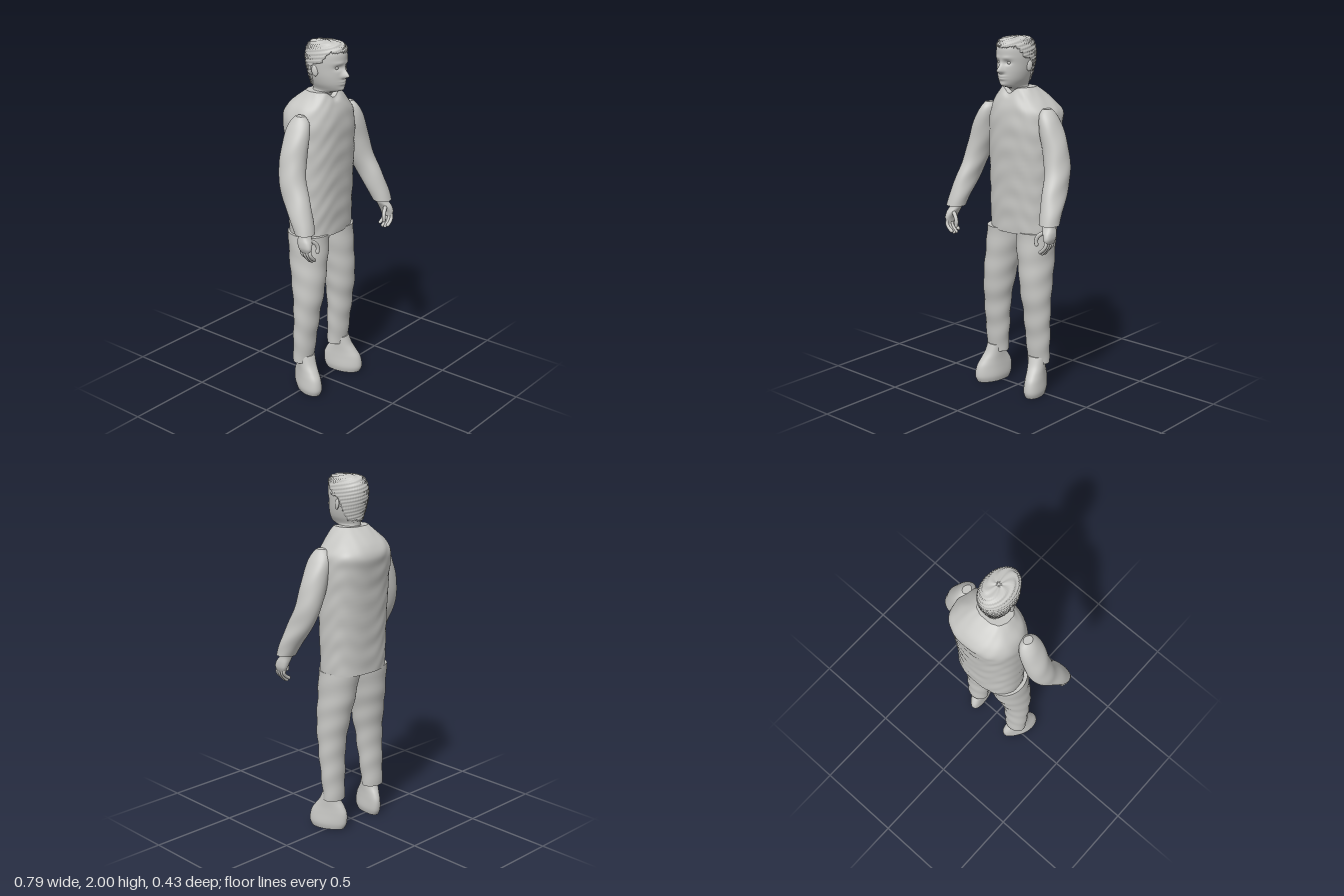
import * as THREE from 'three';

const clay = new THREE.MeshStandardMaterial({ color: 0xc6c6c3 });
clay.name = 'clay grey';

// Closed loft through rows of [y, xMin, xMax, zMin, zMax], listed bottom to top.
// power squares the section; shape(point, angle) may move each vertex.
function loft(rows, { sides = 40, steps = 6, power = 2, shape = null } = {}) {
  const tracks = [0, 1, 2, 3, 4].map(k => rows.map(r => r[k]));
  const at = (a, t) => {
    const i = Math.min(Math.floor(t), a.length - 2), f = t - i;
    const p1 = a[i], p2 = a[i + 1];
    const m1 = (p2 - (a[i - 1] ?? p1)) / 2, m2 = ((a[i + 2] ?? p2) - p1) / 2;
    const f2 = f * f, f3 = f2 * f;
    return (2 * f3 - 3 * f2 + 1) * p1 + (f3 - 2 * f2 + f) * m1 + (3 * f2 - 2 * f3) * p2 + (f3 - f2) * m2;
  };
  const pos = [], index = [], p = new THREE.Vector3();
  const count = (rows.length - 1) * steps;
  const round = v => Math.sign(v) * Math.abs(v) ** (2 / power);
  for (let i = 0; i <= count; i++) {
    const [y, x0, x1, z0, z1] = tracks.map(a => at(a, i / steps));
    for (let j = 0; j < sides; j++) {
      const a = j / sides * Math.PI * 2;
      p.set((x0 + x1) / 2 + (x1 - x0) / 2 * round(Math.cos(a)), y,
        (z0 + z1) / 2 + (z1 - z0) / 2 * round(Math.sin(a)));
      if (shape) shape(p, a);
      pos.push(p.x, p.y, p.z);
      const k = (j + 1) % sides, b = i * sides;
      if (i < count) index.push(b + j, b + sides + j, b + k, b + k, b + sides + j, b + sides + k);
    }
  }
  // End caps with their own vertices keep the rim sharp
  for (const row of [0, count]) {
    const first = pos.length / 3, c = [0, 0, 0];
    for (let j = 0; j < sides; j++) {
      for (let k = 0; k < 3; k++) {
        const v = pos[(row * sides + j) * 3 + k];
        pos.push(v);
        c[k] += v / sides;
      }
    }
    pos.push(...c);
    for (let j = 0; j < sides; j++) {
      const a = first + j, b = first + (j + 1) % sides;
      index.push(first + sides, row ? b : a, row ? a : b);
    }
  }
  const g = new THREE.BufferGeometry();
  g.setAttribute('position', new THREE.Float32BufferAttribute(pos, 3));
  g.setIndex(index);
  g.computeVertexNormals();
  return g;
}

const bell = (v, w) => Math.exp(-((v / w) ** 2));
const smooth = THREE.MathUtils.smoothstep;

export function createModel() {
  const model = new THREE.Group();
  model.name = 'standingMan';
  const add = (name, geometry, parent = model) => {
    const m = new THREE.Mesh(geometry, clay);
    m.name = name;
    parent.add(m);
    return m;
  };
  const mirror = (rows, s) => s > 0 ? rows : rows.map(([y, a, b, c, d]) => [y, -b, -a, c, d]);

  // Jacket body with soft creases and a collar dipping at the front
  add('jacket', loft([
    [0.93, -0.185, 0.215, -0.165, 0.10], [1.05, -0.186, 0.216, -0.168, 0.105],
    [1.2, -0.187, 0.22, -0.175, 0.11], [1.4, -0.188, 0.225, -0.19, 0.118],
    [1.52, -0.188, 0.228, -0.205, 0.12], [1.59, -0.183, 0.222, -0.215, 0.115],
    [1.64, -0.162, 0.188, -0.192, 0.107], [1.69, -0.122, 0.142, -0.138, 0.09],
    [1.73, -0.09, 0.1, -0.085, 0.07],
  ], {
    sides: 64, steps: 8, power: 2.4, shape: (p, a) => {
      const crease = 0.0025 * Math.sin(p.y * 48 + 3 * Math.sin(a * 3)) * Math.sin(a * 5 + p.y * 9);
      p.x += crease * Math.cos(a);
      p.z += crease * Math.sin(a);
      if (p.z > 0) p.y -= 0.035 * bell(p.x, 0.035) * smooth(p.y, 1.66, 1.73);
    },
  }));

  // Head and neck: nose, brows, sockets, lips and chin pushed out of a loft
  const headRows = [
    [1.66, -0.055, 0.06, -0.06, 0.05], [1.715, -0.053, 0.058, -0.06, 0.052],
    [1.733, -0.05, 0.056, -0.064, 0.10], [1.745, -0.053, 0.059, -0.066, 0.125],
    [1.775, -0.068, 0.074, -0.072, 0.135], [1.815, -0.079, 0.085, -0.083, 0.138],
    [1.86, -0.085, 0.091, -0.095, 0.138], [1.9, -0.087, 0.093, -0.101, 0.142],
    [1.94, -0.083, 0.089, -0.099, 0.142], [1.97, -0.069, 0.075, -0.083, 0.127],
    [1.988, -0.045, 0.051, -0.055, 0.1], [1.995, -0.004, 0.01, 0.01, 0.02],
  ];
  const face = p => {
    if (p.z < 0.04) return;
    const x = p.x - 0.003, ax = Math.abs(x);
    p.z += 0.036 * bell(x, 0.012 + 0.004 * bell(p.y - 1.82, 0.02)) * bell(p.y - 1.822, p.y > 1.822 ? 0.03 : 0.011)
      - 0.011 * bell(ax - 0.034, 0.019) * bell(p.y - 1.867, 0.013)
      + 0.004 * bell(ax - 0.032, 0.026) * bell(p.y - 1.892, 0.01)
      + 0.007 * bell(x, 0.024) * (bell(p.y - 1.793, 0.005) + bell(p.y - 1.779, 0.006))
      + 0.006 * bell(x, 0.022) * bell(p.y - 1.748, 0.011);
  };
  add('head', loft(headRows, { sides: 96, steps: 8, shape: face }));

  // Hair: a ridged shell over the scalp that sinks inside the head below the hairline
  add('hair', loft(headRows.slice(3), {
    sides: 96, steps: 8, shape: (p, a) => {
      const line = p.z > 0.03 ? 1.885 + 0.06 * smooth(p.z, 0.04, 0.1)
        : 1.755 + 0.13 * smooth(p.z, -0.035, 0.01);
      const strand = 0.0025 * Math.sin(a * 48 + p.y * 60) + 0.0015 * Math.sin(p.y * 330 + a * 7);
      const out = p.y > line + strand * 2 ? 0.005 + strand : -0.012;
      p.x += Math.cos(a) * out;
      p.z += Math.sin(a) * out;
      p.y += out * smooth(p.y, 1.93, 1.99);
    },
  }));

  for (const s of [1, -1]) {
    const side = s > 0 ? 'left' : 'right';

    // Eye and ear
    const eye = add(side + 'Eye', new THREE.SphereGeometry(0.012, 16, 12));
    eye.position.set(0.003 + s * 0.034, 1.867, 0.112);
    const ear = add(side + 'Ear', new THREE.SphereGeometry(1, 20, 14));
    ear.scale.set(0.009, 0.03, 0.018);
    ear.position.set(0.003 + s * 0.089, 1.847, 0.012);
    ear.rotation.set(-0.2, s * -0.3, 0);

    // Sleeve, swinging forward from the elbow
    const arm = new THREE.Group();
    arm.name = side + 'Arm';
    arm.position.x = s > 0 ? 0.008 : 0.004;
    model.add(arm);
    add(side + 'Sleeve', loft(mirror([
      [1.04, 0.285, 0.395, 0.095, 0.2], [1.1, 0.272, 0.391, 0.06, 0.184],
      [1.2, 0.255, 0.374, -0.01, 0.15], [1.3, 0.23, 0.36, -0.05, 0.105],
      [1.4, 0.2, 0.34, -0.063, 0.086], [1.5, 0.178, 0.305, -0.065, 0.082],
      [1.56, 0.17, 0.275, -0.06, 0.075], [1.6, 0.17, 0.248, -0.045, 0.06],
      [1.626, 0.185, 0.226, -0.02, 0.035],
    ], s), {
      shape: (p, a) => { p.x += 0.002 * Math.cos(a) * Math.sin(p.y * 40 + a * 2); },
    }), arm);

    // Hand: palm turned inward, four curled fingers and a thumb
    const hand = new THREE.Group();
    hand.name = side + 'Hand';
    arm.add(hand);
    add('palm', loft(mirror([
      [0.945, 0.345, 0.372, 0.138, 0.2], [0.97, 0.34, 0.382, 0.125, 0.208],
      [1.0, 0.325, 0.382, 0.118, 0.2], [1.03, 0.308, 0.376, 0.115, 0.18],
      [1.06, 0.305, 0.375, 0.11, 0.175],
    ], s), { sides: 24, power: 2.5 }), hand);
    const digit = (name, points, r) => {
      const path = points.map(([x, y, z]) => new THREE.Vector3(s * x, y, z));
      add(name, new THREE.TubeGeometry(new THREE.CatmullRomCurve3(path), 12, r, 10), hand);
      add(name + 'Tip', new THREE.SphereGeometry(r, 10, 8), hand).position.copy(path[path.length - 1]);
    };
    [0.146, 0.164, 0.183, 0.201].forEach((z, i) => {
      const drop = [0.015, 0, 0, 0.01][i];
      digit('finger' + (i + 1), [[0.36, 0.965, z - 0.006], [0.36, 0.935, z],
        [0.346, 0.91 + drop / 2, z + 0.002], [0.325, 0.888 + drop, z]], 0.0095);
    });
    digit('thumb', [[0.335, 1.005, 0.175], [0.305, 0.985, 0.19], [0.292, 0.96, 0.196], [0.294, 0.935, 0.196]], 0.011);

    // Trouser leg; the right one leans slightly outward
    add(side + 'Leg', loft(mirror([
      [0.18, 0.08, 0.21, -0.065, 0.045], [0.3, 0.073, 0.218, -0.065, 0.055],
      [0.4, 0.068, 0.222, -0.066, 0.069], [0.5, 0.063, 0.225, -0.07, 0.081],
      [0.6, 0.05, 0.226, -0.085, 0.097], [0.7, 0.038, 0.225, -0.105, 0.1],
      [0.8, 0.022, 0.222, -0.125, 0.1], [0.94, 0.002, 0.22, -0.145, 0.098],
    ], s), {
      shape: (p, a) => {
        if (s < 0) p.x += 0.043 * p.y - 0.027;
        const crease = 0.002 * Math.sin(p.y * 45 + 2 * Math.sin(a));
        p.x += crease * Math.cos(a);
        p.z += crease * Math.sin(a);
      },
    }));

    // Boot, narrower at the heel, toe turned out
    const boot = add(side + 'Boot', loft([
      [0, -0.05, 0.05, -0.085, 0.115], [0.035, -0.058, 0.058, -0.102, 0.128],
      [0.09, -0.053, 0.053, -0.105, 0.118], [0.13, -0.05, 0.05, -0.09, 0.092],
      [0.17, -0.05, 0.05, -0.065, 0.062], [0.22, -0.05, 0.05, -0.05, 0.04],
    ], { power: 2.2, shape: p => { p.x *= 0.78 + 0.22 * smooth(p.z, -0.08, 0.04); } }));
    boot.position.set(s > 0 ? 0.153 : -0.166, 0, 0.012);
    boot.rotation.y = s * 0.32;
  }
  return model;
}
